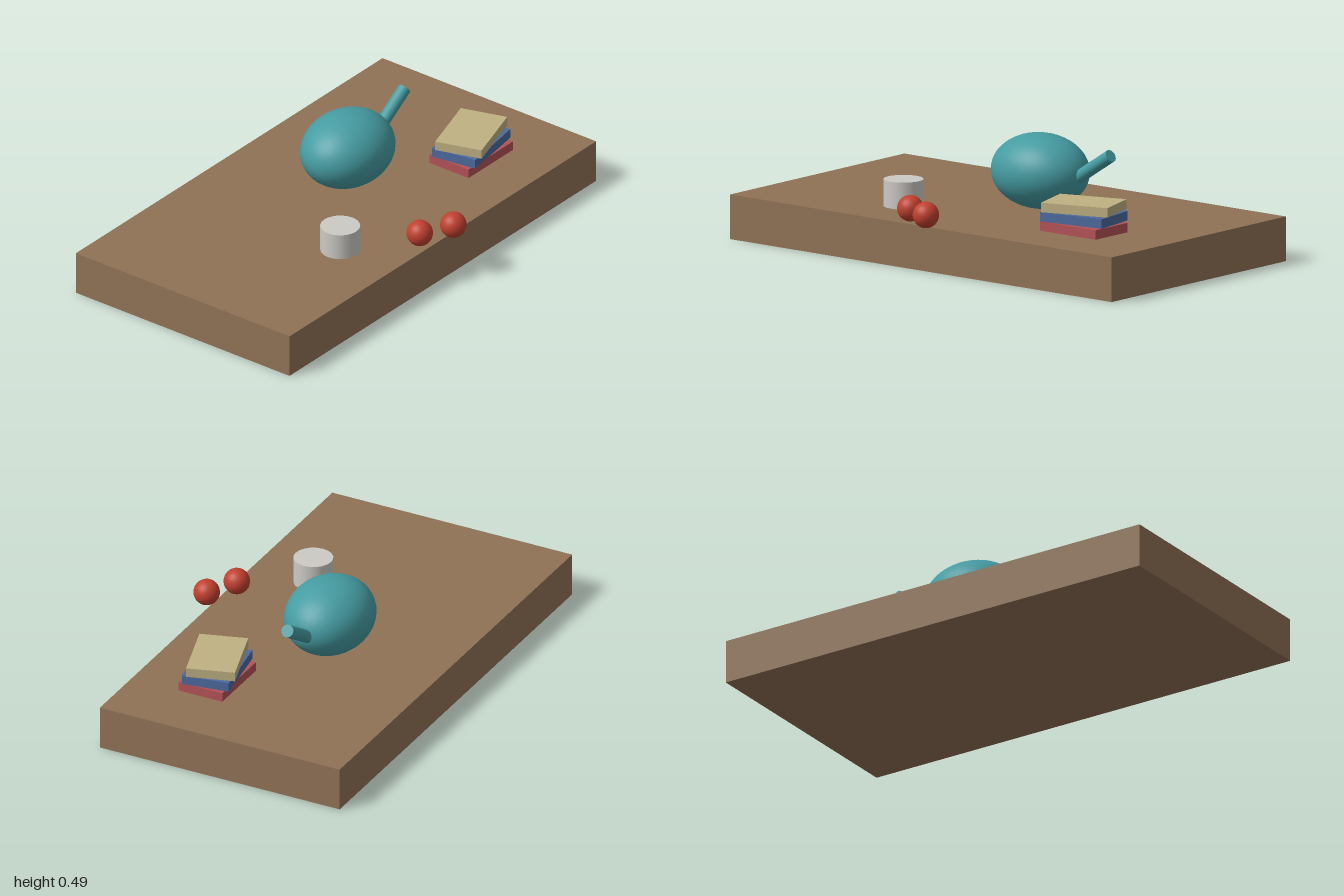
import * as THREE from 'three';

const mat = (name, color) => {
  const m = new THREE.MeshStandardMaterial({ color });
  m.name = name;
  return m;
};

export function createModel() {
  const group = new THREE.Group();
  const wood = mat('wood brown', 0x907256);
  const teal = mat('teal glaze', 0x459ca2);
  const red = mat('fruit red', 0xc0402f);
  const white = mat('cup white', 0xcbcac5);
  const bookColours = [
    mat('book red', 0xb25256),
    mat('book blue', 0x4c6a9e),
    mat('book cream', 0xbfb182),
  ];

  const add = (name, geometry, material, x, y, z) => {
    const mesh = new THREE.Mesh(geometry, material);
    mesh.name = name;
    mesh.position.set(x, y, z);
    group.add(mesh);
    return mesh;
  };

  // Table slab
  const top = 0.183;
  add('tableTop', new THREE.BoxGeometry(2, top, 1.09), wood, 0, top / 2, -0.036);

  // Teapot: squashed sphere body with a slanted spout
  const body = add('teapotBody', new THREE.SphereGeometry(1, 40, 28), teal, 0.133, 0.337, -0.08);
  body.scale.set(0.214, 0.153, 0.178);
  const tilt = 1.0, spoutLength = 0.24;
  const spout = add('teapotSpout', new THREE.CylinderGeometry(0.0265, 0.0265, spoutLength, 20), teal,
    0.502 - Math.sin(tilt) * spoutLength / 2, 0.444 - Math.cos(tilt) * spoutLength / 2, -0.08);
  spout.rotation.z = -tilt;

  // Cup
  add('cup', new THREE.CylinderGeometry(0.081, 0.081, 0.11, 20), white, -0.32, top + 0.055, 0.236);

  // Two round fruits near the front edge
  for (const [x, z] of [[-0.093, 0.464], [0.043, 0.529]])
    add('fruit', new THREE.SphereGeometry(0.0535, 28, 20), red, x, 0.237, z);

  // Stack of books, each turned a little further
  bookColours.forEach((material, i) => {
    const book = add('book' + (i + 1), new THREE.BoxGeometry(0.29, 0.039, 0.2), material,
      0.589, 0.207 + i * 0.0432, 0.193);
    book.rotation.y = i * 0.15;
  });

  return group;
}
